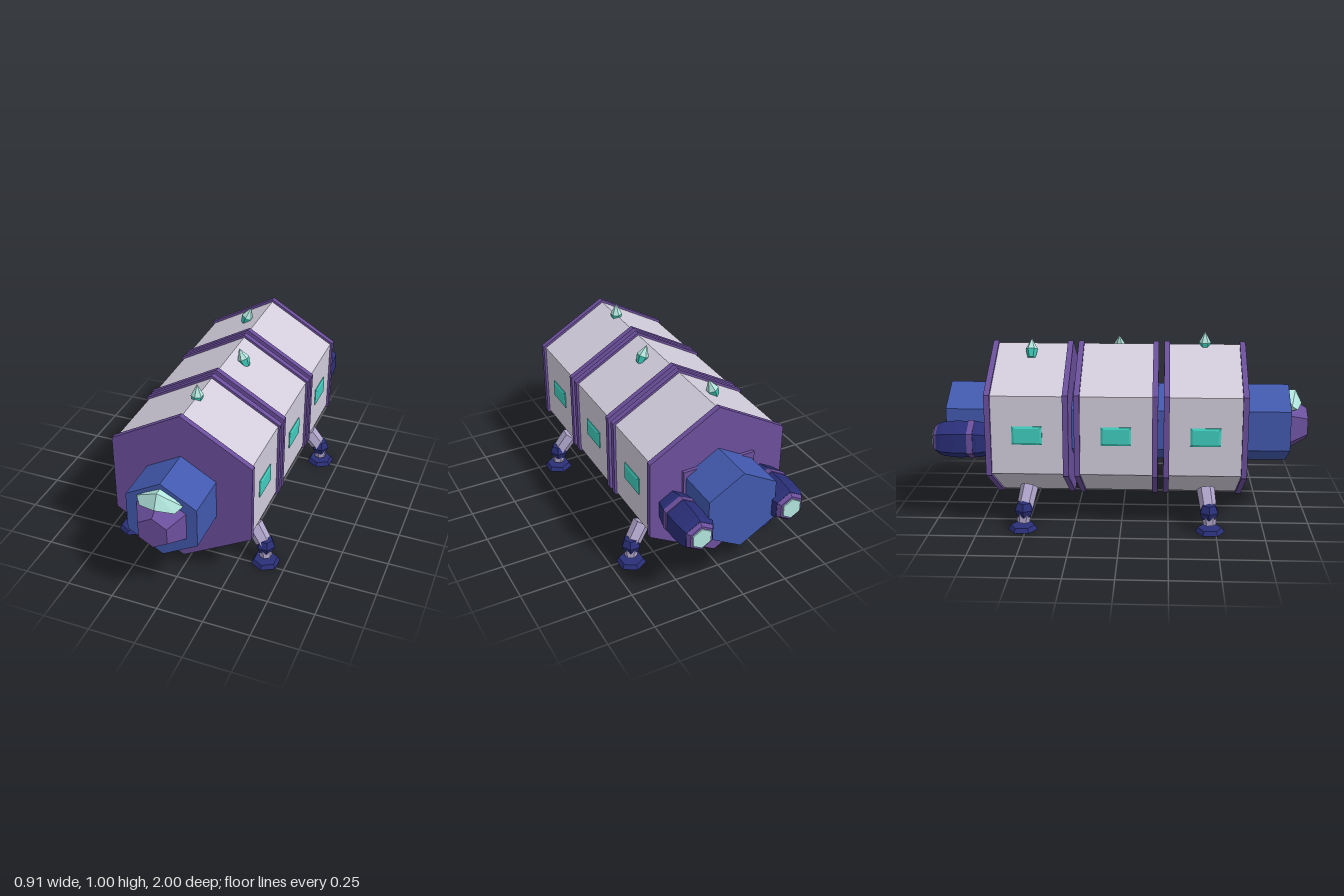
import * as THREE from 'three';
import { ConvexGeometry } from 'three/addons/geometries/ConvexGeometry.js';

const mat = (color) => new THREE.MeshStandardMaterial({ color, flatShading: true });
const HULL = mat(0xd2ccdb), PURPLE = mat(0x6b4f9c), BLUE = mat(0x4259ae), NAVY = mat(0x2a2f78);
const TEAL = mat(0x3fcdbd), PALE = mat(0xb2e6de), STRUT = mat(0xb0a6cc);

function add(parent, name, geometry, material, x = 0, y = 0, z = 0) {
  const mesh = new THREE.Mesh(geometry, material);
  mesh.name = name;
  mesh.position.set(x, y, z);
  parent.add(mesh);
  return mesh;
}

// Six-sided prism or frustum lying along z, with a corner pointing up
function hexZ(parent, name, material, zFront, zBack, rFront, rBack, x, y) {
  const g = new THREE.CylinderGeometry(rFront, rBack, zFront - zBack, 6).rotateX(Math.PI / 2);
  return add(parent, name, g, material, x, y, (zFront + zBack) / 2);
}

// Six-sided strut between two points
function strut(parent, name, from, to, rFrom, rTo) {
  const dir = to.clone().sub(from);
  const mid = from.clone().add(to).multiplyScalar(0.5);
  const mesh = add(parent, name, new THREE.CylinderGeometry(rTo, rFrom, dir.length(), 6), STRUT, mid.x, mid.y, mid.z);
  mesh.quaternion.setFromUnitVectors(new THREE.Vector3(0, 1, 0), dir.normalize());
  return mesh;
}

// Bevelled side window, facing +x
function windowGeometry() {
  const w = 0.068, h = 0.038;
  const s = new THREE.Shape([[-w, -h], [w, -h], [w, h], [-w, h]].map(([a, b]) => new THREE.Vector2(a, b)));
  return new THREE.ExtrudeGeometry(s, {
    depth: 0.012, bevelEnabled: true, bevelSegments: 1, bevelSize: 0.011, bevelThickness: 0.006,
  }).rotateY(Math.PI / 2);
}

// Crystal with its widest ring at the origin
function crystal(x, y, z, tilt) {
  const g = new THREE.Group();
  g.name = 'roofCrystal';
  add(g, 'crystalTip', new THREE.ConeGeometry(0.033, 0.061, 6), PALE, 0, 0.0305, 0);
  add(g, 'crystalBase', new THREE.CylinderGeometry(0.033, 0.021, 0.045, 6), TEAL, 0, -0.0225, 0);
  g.position.set(x, y, z);
  g.rotation.z = tilt;
  return g;
}

// Leg splayed outwards; sx and sz choose the corner
function leg(sx, sz, zTop, zKnee, zFoot) {
  const g = new THREE.Group();
  g.name = 'leg';
  const top = new THREE.Vector3(sx * 0.312, 0.214, zTop);
  const knee = new THREE.Vector3(sx * 0.383, 0.11, zKnee);
  const ankle = new THREE.Vector3(sx * 0.389, 0.04, zKnee + sz * 0.006);
  strut(g, 'upperLeg', knee, top, 0.043, 0.047);
  strut(g, 'lowerLeg', ankle, knee, 0.033, 0.042);
  add(g, 'knee', new THREE.SphereGeometry(0.054, 6, 4), NAVY, knee.x, knee.y, knee.z);
  add(g, 'foot', new THREE.CylinderGeometry(0.064, 0.078, 0.023, 6), NAVY, sx * 0.389, 0.0115, zFoot);
  return g;
}

// Rear engine pod along z
function engine(sx) {
  const g = new THREE.Group();
  g.name = 'engine';
  const x = sx * 0.251, y = 0.45;
  const rings = [[-0.7, 0.084], [-0.76, 0.1], [-0.88, 0.102], [-0.95, 0.094], [-0.975, 0.084]];
  for (let i = 0; i < rings.length - 1; i++) {
    hexZ(g, 'enginePod', NAVY, rings[i][0], rings[i + 1][0], rings[i][1], rings[i + 1][1], x, y);
  }
  hexZ(g, 'engineBand', PURPLE, -0.78, -0.81, 0.105, 0.105, x, y);
  hexZ(g, 'engineCollar', PURPLE, -0.97, -0.993, 0.086, 0.068, x, y);
  hexZ(g, 'engineNozzle', PALE, -0.98, -1, 0.055, 0.055, x, y);
  return g;
}

export function createModel() {
  const root = new THREE.Group();
  root.name = 'spaceStation';
  const cy = 0.507, ny = 0.492;

  // Central core running through the modules
  hexZ(root, 'core', BLUE, 0.896, -0.945, 0.215, 0.215, 0, ny);

  // Three hull modules with end flanges and side windows
  for (const z of [0.438, -0.025, -0.488]) {
    const m = new THREE.Group();
    m.name = 'hullModule';
    root.add(m);
    hexZ(m, 'hull', HULL, z + 0.2, z - 0.2, 0.418, 0.418, 0, cy);
    for (const s of [1, -1]) {
      hexZ(m, 'flange', PURPLE, z + s * 0.202 + 0.015, z + s * 0.202 - 0.015, 0.4325, 0.4325, 0, cy);
      const win = add(m, 'window', windowGeometry(), TEAL, s * 0.354, cy, z);
      if (s < 0) win.rotation.y = Math.PI;
    }
  }

  // Nose and its faceted canopy
  hexZ(root, 'nose', PURPLE, 1, 0.89, 0.087, 0.154, 0, 0.489);
  const pts = [
    [0, 0.678, 0.935], [0, 0.678, 0.88], [0.122, 0.615, 0.905], [-0.122, 0.615, 0.905],
    [0.092, 0.588, 0.94], [-0.092, 0.588, 0.94], [0, 0.604, 0.972],
    [0.09, 0.58, 0.88], [-0.09, 0.58, 0.88],
  ].map((p) => new THREE.Vector3(...p));
  add(root, 'canopy', new ConvexGeometry(pts), PALE);

  // Roof crystals
  root.add(crystal(0, 0.934, 0.438, 0), crystal(0.067, 0.908, -0.025, 0.42), crystal(-0.084, 0.907, -0.488, -0.4));

  // Rear hatch plate and panel
  add(root, 'hatchFrame', new THREE.BoxGeometry(0.4, 0.385, 0.025), PURPLE, 0, 0.443, -0.71);
  add(root, 'hatchPanel', new THREE.BoxGeometry(0.31, 0.31, 0.03), TEAL, 0, 0.443, -0.713);

  // Engines and legs, mirrored left and right
  for (const s of [1, -1]) {
    root.add(engine(s), leg(s, 1, 0.445, 0.462, 0.469), leg(s, -1, -0.487, -0.508, -0.517));
  }
  return root;
}
